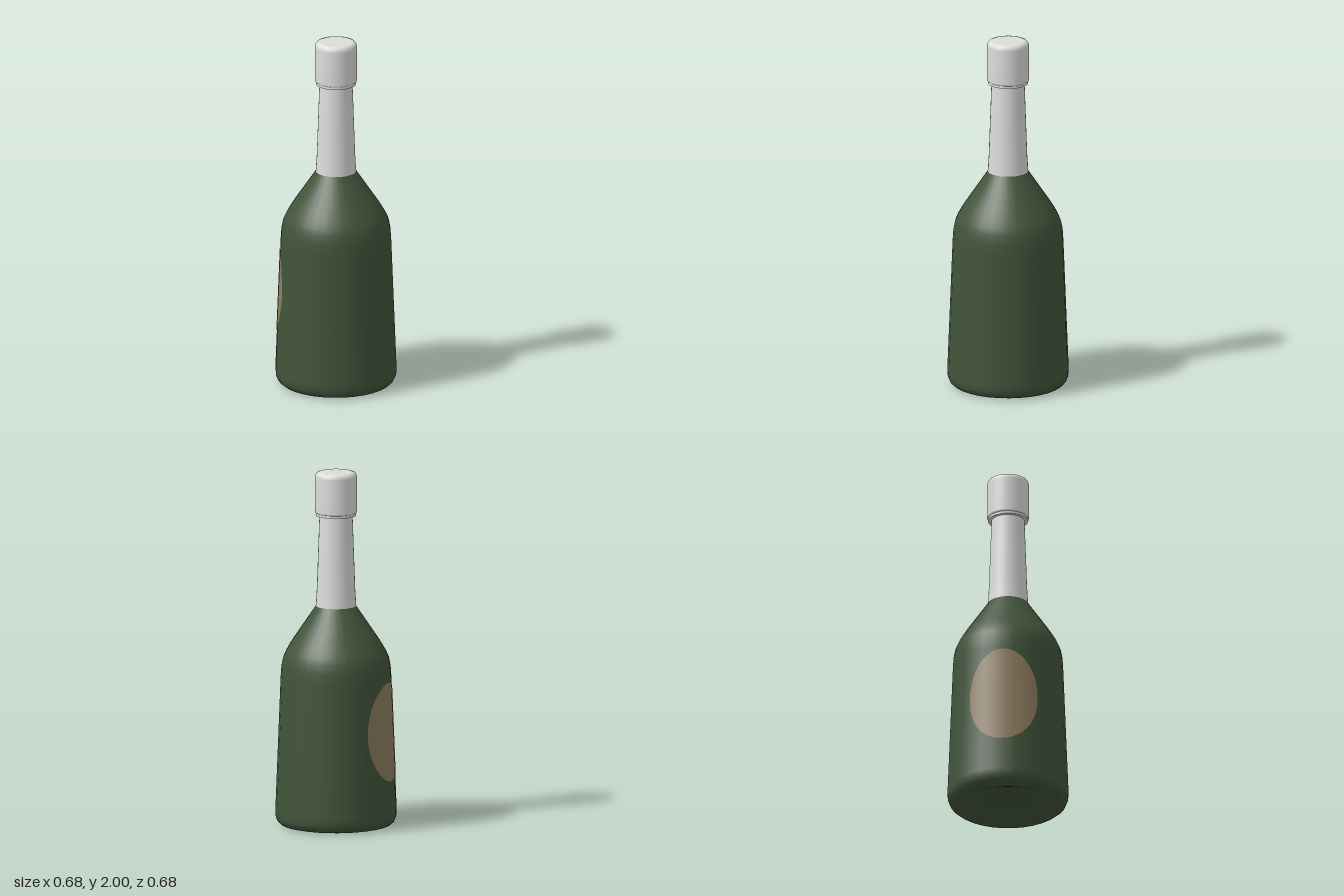
import * as THREE from 'three';

const SIDES = 32;
// straight, tapering stretch of the body: radius and height at each end
const LOW = [0.339, 0.08], HIGH = [0.309, 0.84];

const glass = new THREE.MeshStandardMaterial({ color: 0x41543a });
glass.name = 'greenGlass';
const foil = new THREE.MeshStandardMaterial({ color: 0xdcdedc });
foil.name = 'paleFoil';
const paper = new THREE.MeshStandardMaterial({ color: 0x8e7d60 });
paper.name = 'tanPaper';

// revolve a profile of [radius, height] points, listed from bottom to top
function turned(name, profile, material, sides = SIDES) {
  const points = profile.map(([r, y]) => new THREE.Vector2(r, y));
  const mesh = new THREE.Mesh(new THREE.LatheGeometry(points, sides), material);
  mesh.name = name;
  return mesh;
}

// oval paper patch wrapped on the faceted body, facing -x
function makeLabel() {
  const halfAngle = 0.63, halfHeight = 0.28, centreY = 0.545, lift = 0.003;
  const step = (2 * Math.PI) / SIDES;
  const geometry = new THREE.PlaneGeometry(2, 2, 48, 1);
  const pos = geometry.attributes.position;
  const normal = geometry.attributes.normal;
  for (let i = 0; i < pos.count; i++) {
    const t = pos.getX(i) * Math.PI / 2;
    const a = Math.sin(t) * halfAngle;
    const y = centreY + pos.getY(i) * Math.cos(t) * halfHeight;
    const k = (y - LOW[1]) / (HIGH[1] - LOW[1]);
    const round = THREE.MathUtils.lerp(LOW[0], HIGH[0], k);
    const within = THREE.MathUtils.euclideanModulo(a, step) - step / 2;
    const r = round * Math.cos(step / 2) / Math.cos(within) + lift;
    const phi = a - Math.PI / 2;
    pos.setXYZ(i, r * Math.sin(phi), y, r * Math.cos(phi));
    normal.setXYZ(i, Math.sin(phi), 0.04, Math.cos(phi));
  }
  const mesh = new THREE.Mesh(geometry, paper);
  mesh.name = 'label';
  return mesh;
}

export function createModel() {
  const group = new THREE.Group();
  group.name = 'bottle';

  // body with a hollowed base, rounded foot and sloping shoulder
  group.add(turned('body', [
    [0, 0.05], [0.15, 0.045], [0.21, 0.02], [0.25, 0.004], [0.28, 0], [0.307, 0.006],
    [0.326, 0.022], [0.336, 0.045], LOW, HIGH,
    [0.305, 0.9], [0.295, 0.95], [0.28, 0.985], [0.26, 1.02], [0.235, 1.06], [0.113, 1.24],
  ], glass));

  group.add(makeLabel());

  // foil-wrapped neck
  group.add(turned('neck', [[0.113, 1.24], [0.107, 1.34], [0.092, 1.77]], foil));

  // cap with a small lip beneath
  group.add(turned('capLip', [[0.09, 1.752], [0.111, 1.752]], foil, 48));
  group.add(turned('capLipEdge', [[0.111, 1.752], [0.111, 1.77]], foil, 48));
  group.add(turned('cap', [
    [0.09, 1.764], [0.108, 1.765], [0.115, 1.769], [0.117, 1.778], [0.117, 1.97], [0.114, 1.985],
    [0.106, 1.996], [0.092, 2],
  ], foil, 48));
  group.add(turned('capTop', [[0.092, 2], [0, 2]], foil, 48));

  return group;
}
